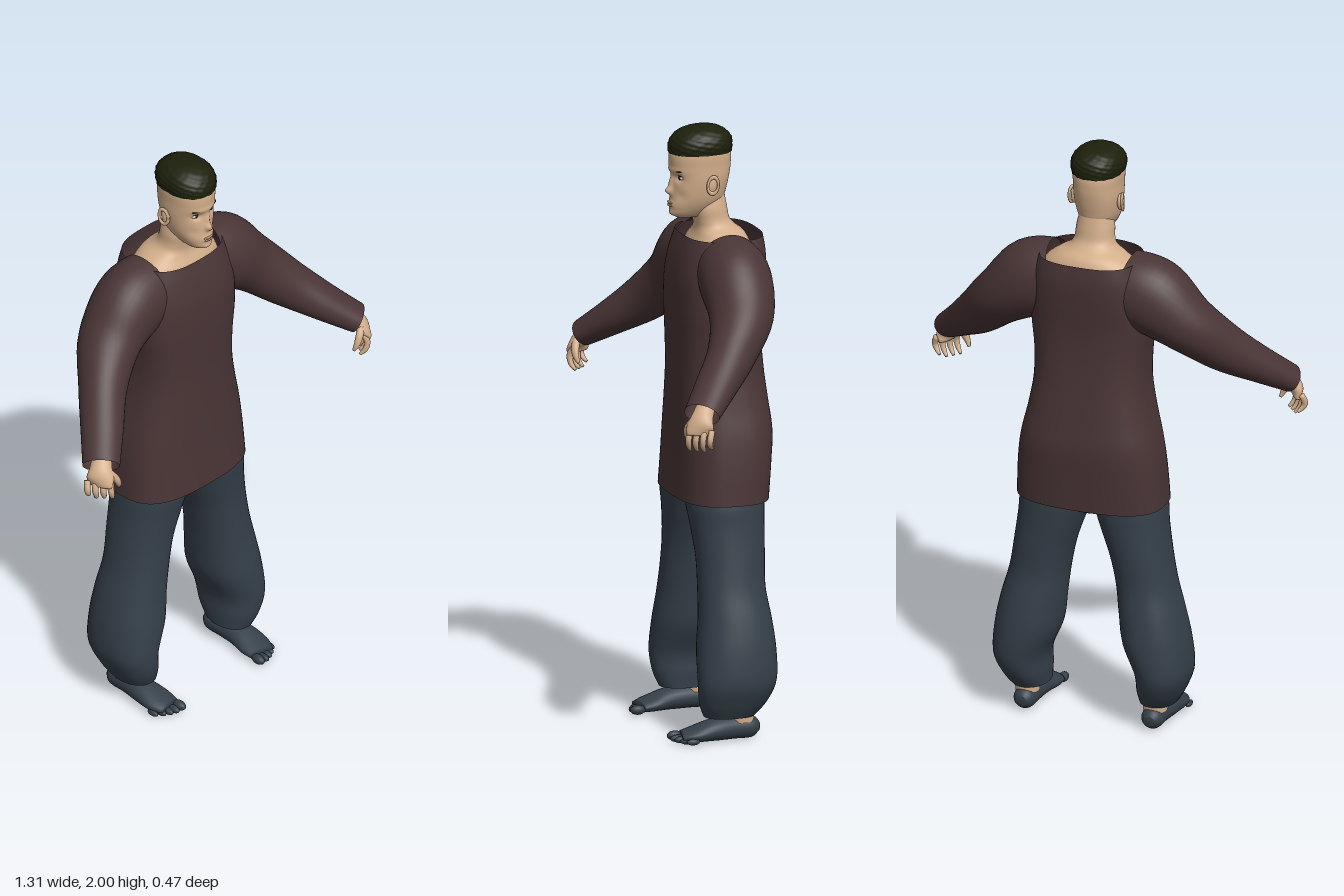
import * as THREE from 'three';

const mat = (name, color, side = THREE.FrontSide) => {
  const m = new THREE.MeshStandardMaterial({ color, side });
  m.name = name;
  return m;
};

// Catmull-Rom interpolation of every column of a table of sections
function smooth(rows, k) {
  const out = [], last = rows.length - 1;
  for (let i = 0; i < last; i++) {
    const [a, b, c, d] = [rows[Math.max(i - 1, 0)], rows[i], rows[i + 1], rows[Math.min(i + 2, last)]];
    for (let j = 0; j < k; j++) {
      const t = j / k;
      out.push(b.map((_, q) => 0.5 * (2 * b[q] + (c[q] - a[q]) * t
        + (2 * a[q] - 5 * b[q] + 4 * c[q] - d[q]) * t * t
        + (3 * b[q] - a[q] - 3 * c[q] + d[q]) * t * t * t)));
    }
  }
  out.push(rows[last]);
  return out;
}

// Skin closed rings of points into a smooth surface whose faces point outwards
function skinRings(rings, capStart, capEnd) {
  const n = rings[0].length, pts = rings.flat(), idx = [];
  for (let r = 0; r < rings.length - 1; r++) {
    for (let i = 0; i < n; i++) {
      const a = r * n + i, b = r * n + (i + 1) % n;
      idx.push(a, b, b + n, a, b + n, a + n);
    }
  }
  const cap = (r, flip) => {
    const c = rings[r].reduce((s, p) => s.add(p), new THREE.Vector3()).divideScalar(n);
    pts.push(c);
    for (let i = 0; i < n; i++) {
      const a = r * n + i, b = r * n + (i + 1) % n;
      idx.push(pts.length - 1, flip ? b : a, flip ? a : b);
    }
  };
  if (capStart) cap(0, true);
  if (capEnd) cap(rings.length - 1, false);
  const mid = pts.reduce((s, p) => s.add(p), new THREE.Vector3()).divideScalar(pts.length);
  const rel = pts.map((p) => p.clone().sub(mid));
  let volume = 0;
  for (let i = 0; i < idx.length; i += 3) {
    volume += rel[idx[i]].dot(rel[idx[i + 1]].clone().cross(rel[idx[i + 2]]));
  }
  if (volume < 0) idx.reverse();
  const g = new THREE.BufferGeometry().setFromPoints(pts);
  g.setIndex(idx);
  g.computeVertexNormals();
  return g;
}

// Upright body: rows of [y, centre x, half width, front z, back z]
function upright(rows, { e = 2.2, n = 40, k = 5, capStart = false, capEnd = false, warp } = {}) {
  const pow = (v) => Math.sign(v) * Math.abs(v) ** (2 / e);
  const rings = smooth(rows, k).map(([y, cx, hw, zf, zb]) => Array.from({ length: n }, (_, i) => {
    const a = i / n * Math.PI * 2;
    const p = new THREE.Vector3(cx + hw * pow(Math.cos(a)), y, (zf + zb) / 2 + (zf - zb) / 2 * pow(Math.sin(a)));
    if (warp) warp(p, a);
    return p;
  }));
  return skinRings(rings, capStart, capEnd);
}

// Limb along a path: rows of [x, y, z, thickness radius, width radius]
function limb(rows, { n = 24, k = 5, up = [0, 1, 0], caps = true } = {}) {
  const s = smooth(rows, k), at = (i) => new THREE.Vector3(...s[i].slice(0, 3));
  const rings = s.map((row, r) => {
    const t = at(Math.min(r + 1, s.length - 1)).sub(at(Math.max(r - 1, 0))).normalize();
    const b = t.clone().cross(new THREE.Vector3(...up)).normalize();
    const nrm = b.clone().cross(t);
    return Array.from({ length: n }, (_, i) => {
      const a = i / n * Math.PI * 2;
      return at(r).addScaledVector(nrm, row[3] * Math.sin(a)).addScaledVector(b, row[4] * Math.cos(a));
    });
  });
  return skinRings(rings, caps, caps);
}

// Facial relief: [x, y, x spread, y spread, depth]
const relief = [
  [0, 1.788, 0.011, 0.013, 0.02], [0, 1.815, 0.009, 0.022, 0.011],
  [0.034, 1.835, 0.016, 0.012, -0.011], [-0.034, 1.835, 0.016, 0.012, -0.011],
  [0, 1.858, 0.05, 0.009, 0.004], [0, 1.745, 0.022, 0.010, 0.005], [0, 1.714, 0.02, 0.01, 0.004],
  [0.045, 1.775, 0.014, 0.018, -0.004], [-0.045, 1.775, 0.014, 0.018, -0.004],
];
const faceWarp = (p) => {
  if (p.z < 0) return;
  const { x, y } = p;
  for (const [cx, cy, sx, sy, d] of relief) {
    p.z += d * Math.exp(-(((x - cx) / sx) ** 2) - ((y - cy) / sy) ** 2);
  }
};
const hairWarp = (p, a) => {
  const f = 1 + 0.012 * Math.sin(a * 17 + p.y * 260) + 0.01 * Math.sin(a * 9 - p.y * 410);
  p.x *= f;
  p.z = -0.02 + (p.z + 0.02) * f;
};

export function createModel() {
  const root = new THREE.Group();
  root.name = 'figure';
  const skin = mat('skin', 0xd3ae8b), hair = mat('hair', 0x1d200b, THREE.DoubleSide);
  const cloth = mat('tunic cloth', 0x4a3536, THREE.DoubleSide);
  const trousers = mat('trouser cloth', 0x35404a, THREE.DoubleSide);
  const white = mat('eye white', 0xd8d4cc), dark = mat('iris', 0x1f1712), lip = mat('lip', 0xb08468);
  const add = (name, geometry, material, parent = root) => {
    const m = new THREE.Mesh(geometry, material);
    m.name = name;
    parent.add(m);
    return m;
  };
  const ball = (name, material, pos, size, parent = root) => {
    const m = add(name, new THREE.SphereGeometry(1, 20, 14), material, parent);
    m.position.set(...pos);
    m.scale.set(...size);
    return m;
  };

  // Head, neck and hair
  add('head', upright([
    [1.70, 0, 0.028, 0.062, -0.03], [1.712, 0, 0.04, 0.078, -0.05], [1.735, 0, 0.055, 0.081, -0.08],
    [1.76, 0, 0.066, 0.079, -0.098], [1.79, 0, 0.073, 0.076, -0.107], [1.83, 0, 0.078, 0.074, -0.116],
    [1.87, 0, 0.079, 0.08, -0.122], [1.915, 0, 0.08, 0.079, -0.121], [1.955, 0, 0.068, 0.055, -0.1],
    [1.98, 0, 0.03, 0, -0.06],
  ], { n: 96, k: 8, capStart: true, capEnd: true, warp: faceWarp }), skin);
  add('neckAndShoulders', upright([
    [1.45, 0, 0.15, 0.04, -0.17], [1.54, 0, 0.175, 0.03, -0.178], [1.605, 0, 0.162, 0.015, -0.178],
    [1.642, 0, 0.12, 0, -0.165], [1.665, 0, 0.08, -0.004, -0.138], [1.69, 0, 0.066, 0, -0.117],
    [1.73, 0, 0.062, 0.008, -0.109], [1.78, 0, 0.05, 0, -0.1],
  ]), skin);
  add('hair', upright([
    [1.913, 0, 0.083, 0.083, -0.125], [1.94, 0, 0.087, 0.082, -0.127], [1.965, 0, 0.08, 0.069, -0.121],
    [1.985, 0, 0.06, 0.044, -0.1], [1.997, 0, 0.032, 0.01, -0.07], [2.0, 0, 0.006, -0.015, -0.035],
  ], { n: 72, k: 6, capEnd: true, warp: hairWarp }), hair);
  ball('upperLip', lip, [0, 1.749, 0.081], [0.02, 0.004, 0.007]);
  ball('lowerLip', lip, [0, 1.740, 0.081], [0.018, 0.0045, 0.007]);

  // Tunic body, open at the neck and hem
  add('tunic', upright([
    [0.78, 0, 0.25, 0.085, -0.22], [0.9, 0, 0.243, 0.078, -0.23], [1.0, 0, 0.23, 0.075, -0.237],
    [1.1, 0, 0.207, 0.073, -0.226], [1.2, 0, 0.19, 0.072, -0.214], [1.3, 0, 0.19, 0.074, -0.206],
    [1.4, 0, 0.2, 0.076, -0.206], [1.5, 0, 0.2, 0.073, -0.216], [1.58, 0, 0.186, 0.06, -0.222],
    [1.642, 0, 0.165, 0.042, -0.215],
  ], { e: 2.8, n: 56 }), cloth);
  add('trouserSeat', upright([
    [0.745, 0, 0.1, 0.03, -0.15], [0.8, 0, 0.215, 0.06, -0.185], [0.9, 0, 0.21, 0.05, -0.2],
    [1.0, 0, 0.18, 0.04, -0.19],
  ], { capStart: true, capEnd: true }), trousers);

  // Paired parts
  for (const s of [1, -1]) {
    const side = new THREE.Group();
    side.name = s > 0 ? 'leftSide' : 'rightSide';
    root.add(side);
    const flip = (rows) => rows.map(([x, ...rest]) => [x * s, ...rest]);

    // Eye, brow and ear
    ball('eye', white, [0.035 * s, 1.835, 0.049], [0.0145, 0.0075, 0.012], side);
    ball('iris', dark, [0.034 * s, 1.835, 0.0595], [0.0058, 0.0062, 0.003], side);
    ball('upperLid', dark, [0.035 * s, 1.8425, 0.055], [0.016, 0.0022, 0.008], side).rotation.y = 0.3 * s;
    ball('brow', hair, [0.037 * s, 1.858, 0.067], [0.019, 0.003, 0.005], side).rotation.y = 0.38 * s;
    ball('ear', skin, [0.08 * s, 1.813, -0.035], [0.01, 0.03, 0.018], side).rotation.x = -0.15;
    const rim = add('earRim', new THREE.TorusGeometry(0.017, 0.0045, 8, 24), skin, side);
    rim.position.set(0.088 * s, 1.815, -0.037);
    rim.rotation.set(-0.12, Math.PI / 2 - 0.25 * s, 0);
    rim.scale.y = 1.6;

    // Sleeve
    add('sleeve', limb(flip([
      [0.11, 1.55, -0.075, 0.115, 0.108], [0.21, 1.515, -0.073, 0.13, 0.118], [0.32, 1.43, -0.053, 0.098, 0.105],
      [0.42, 1.333, 0.015, 0.08, 0.08], [0.51, 1.252, 0.1, 0.06, 0.07], [0.59, 1.185, 0.175, 0.045, 0.061],
    ]), { n: 36, k: 6, caps: false }), cloth, side);

    // Hand with curled fingers and thumb
    add('palm', limb(flip([
      [0.555, 1.21, 0.145, 0.03, 0.03], [0.588, 1.178, 0.172, 0.027, 0.036], [0.604, 1.15, 0.185, 0.023, 0.045],
      [0.61, 1.122, 0.188, 0.013, 0.042],
    ])), skin, side);
    for (let i = 0; i < 4; i++) {
      const t = (i - 1.5) / 1.5, long = i === 0 ? 0.8 : 1;
      const x = 0.612 - 0.026 * t, z = 0.187 + 0.028 * t;
      add('finger', limb(flip([
        [x - 0.004, 1.14, z - 0.004, 0.01, 0.01], [x + 0.005, 1.112, z + 0.005, 0.0105, 0.0105],
        [x - 0.002, 1.125 - 0.04 * long, z + 0.003, 0.009, 0.009], [x - 0.016, 1.125 - 0.058 * long, z - 0.008, 0.005, 0.005],
      ]), { n: 10, k: 3, up: [1, 0, s] }), skin, side);
    }
    add('thumb', limb(flip([
      [0.582, 1.168, 0.2, 0.013, 0.013], [0.562, 1.14, 0.212, 0.013, 0.013],
      [0.549, 1.115, 0.213, 0.01, 0.01], [0.541, 1.096, 0.207, 0.005, 0.005],
    ]), { n: 10, k: 3, up: [0, 0, 1] }), skin, side);

    // Trouser leg, gathered at the ankle
    add('trouserLeg', upright([
      [0.082, 0.222, 0.061, 0.04, -0.13], [0.13, 0.234, 0.076, 0.058, -0.168], [0.2, 0.245, 0.09, 0.065, -0.195],
      [0.3, 0.222, 0.108, 0.061, -0.2], [0.4, 0.205, 0.105, 0.05, -0.19], [0.5, 0.185, 0.098, 0.045, -0.176],
      [0.6, 0.166, 0.1, 0.045, -0.18], [0.7, 0.142, 0.11, 0.055, -0.186], [0.78, 0.126, 0.119, 0.065, -0.19],
      [0.86, 0.11, 0.112, 0.055, -0.19],
    ].map(([y, x, ...rest]) => [y, x * s, ...rest])), trousers, side);

    // Ankle and covered foot
    const ankle = add('ankle', new THREE.CylinderGeometry(0.042, 0.04, 0.09, 20), skin, side);
    ankle.position.set(0.222 * s, 0.105, -0.088);
    add('foot', limb(flip([
      [0.222, 0.038, -0.145, 0.016, 0.018], [0.222, 0.04, -0.12, 0.036, 0.036], [0.222, 0.041, -0.06, 0.038, 0.04],
      [0.224, 0.038, 0.01, 0.036, 0.048], [0.22, 0.028, 0.07, 0.026, 0.055], [0.212, 0.021, 0.115, 0.018, 0.044],
    ])), trousers, side);
    for (let i = 0; i < 5; i++) {
      const r = i === 0 ? 0.016 : 0.0125 - i * 0.0005;
      ball('toe', trousers, [(0.182 + i * 0.0205 + (i ? 0.004 : 0)) * s, r + 0.002, 0.128 - i * i * 0.0022],
        [r, r, 0.026 - i * 0.001], side);
    }
  }
  return root;
}
